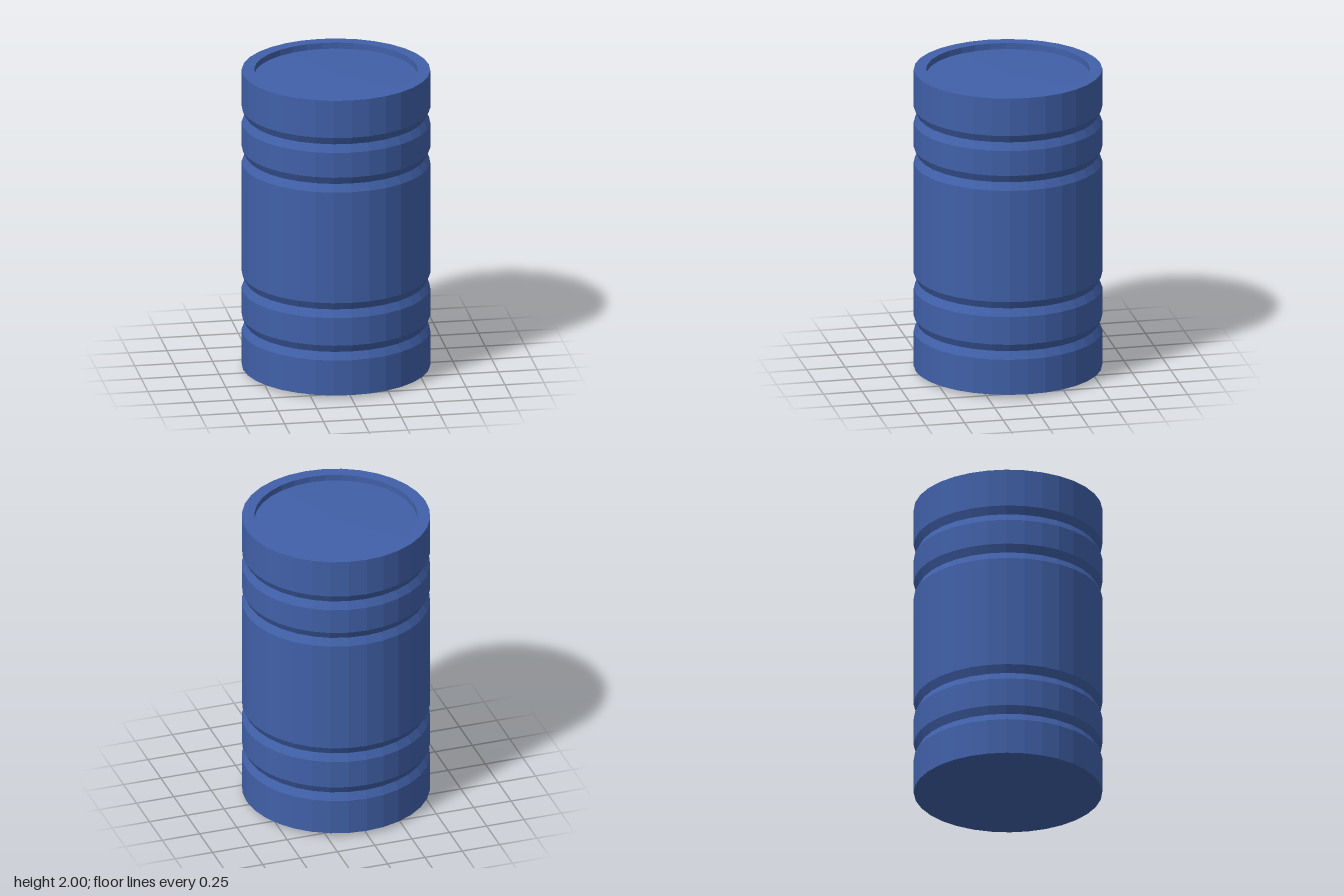
import * as THREE from 'three';

const SIDES = 32;
const RADIUS = 0.597;

export function createModel() {
  const group = new THREE.Group();
  group.name = 'barrel';
  const material = new THREE.MeshStandardMaterial({ color: 0x4060a8, flatShading: true });

  const addLathe = (name, points) => {
    const geometry = new THREE.LatheGeometry(points.map(([r, y]) => new THREE.Vector2(r, y)), SIDES);
    const mesh = new THREE.Mesh(geometry, material);
    mesh.name = name;
    group.add(mesh);
  };

  // Slightly bulging base
  addLathe('base', [[0, 0], [RADIUS, 0.023]]);

  // Wall with four V-shaped grooves
  const wall = [[RADIUS, 0.023]];
  for (const y of [0.307, 0.592, 1.434, 1.7]) {
    wall.push([RADIUS, y - 0.05], [0.571, y], [RADIUS, y + 0.05]);
  }
  wall.push([RADIUS, 2]);
  addLathe('wall', wall);

  // Flat top rim and its inner lip
  addLathe('rim', [[RADIUS, 2], [0.518, 2], [0.518, 1.96]]);

  // Recessed lid, very slightly domed
  addLathe('lid', [[0.518, 1.96], [0, 1.968]]);

  return group;
}
